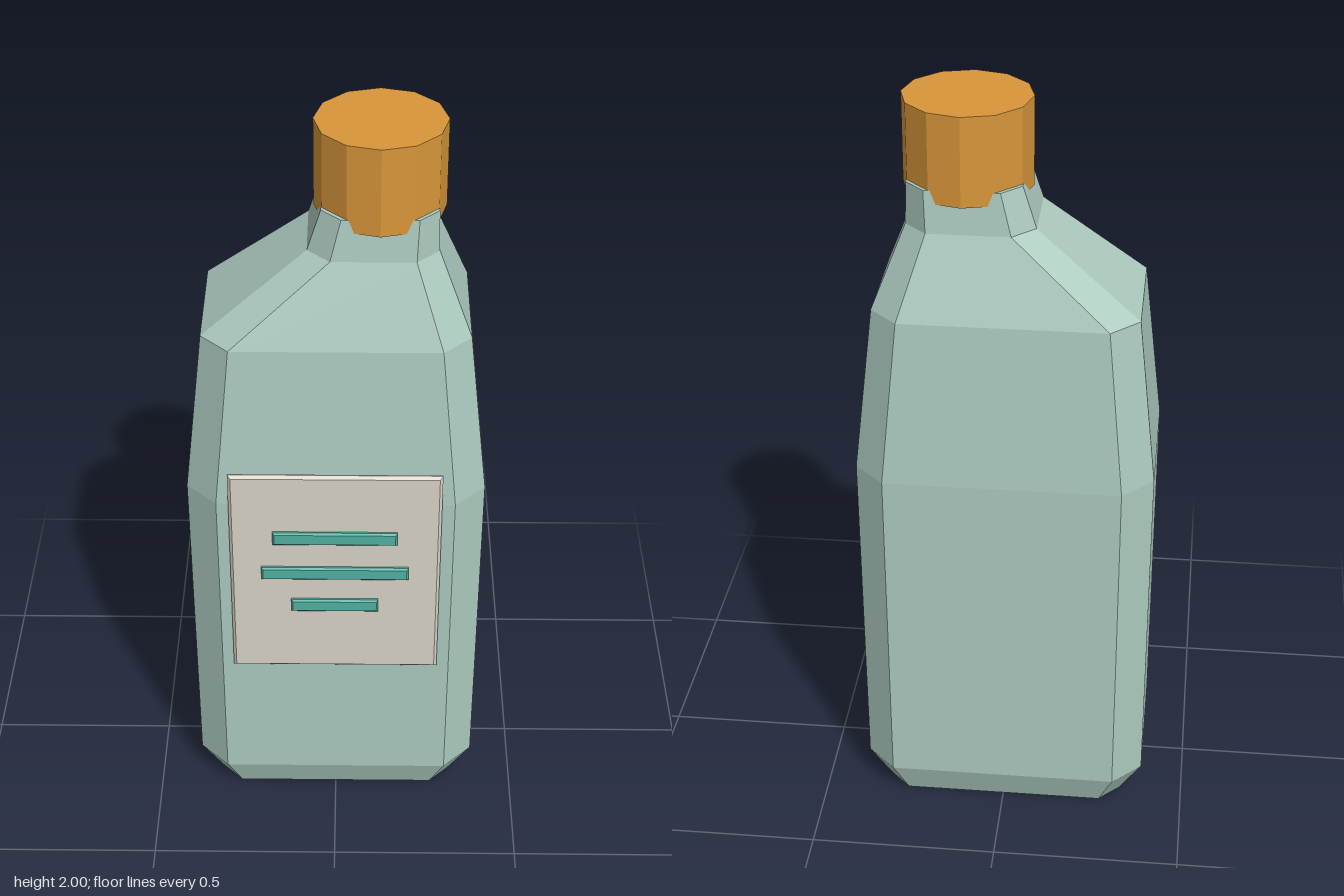
import * as THREE from 'three';

const CENTER_Z = -0.015;

// Octagonal rings from the base up: [y, xMin, xMax, halfDepth, corner chamfer]
const RINGS = [
  [0, -0.325, 0.325, 0.233, 0.055],
  [0.09, -0.386, 0.386, 0.265, 0.078],
  [1.03, -0.39, 0.39, 0.268, 0.08],
  [1.475, -0.341, 0.341, 0.231, 0.073],
  [1.69, -0.073, 0.256, 0.157, 0.058],
  [1.8, -0.038, 0.253, 0.145, 0.05],
];

function ringPoints([y, x0, x1, d, c]) {
  return [
    [x1, d - c], [x1, c - d], [x1 - c, -d], [x0 + c, -d],
    [x0, c - d], [x0, d - c], [x0 + c, d], [x1 - c, d],
  ].map(([x, z]) => [x, y, z + CENTER_Z]);
}

// Flat-faced loft through the rings, closed at both ends
function loft(rings) {
  const pts = rings.map(ringPoints);
  const n = pts[0].length;
  const pos = [];
  const tri = (a, b, c) => pos.push(...a, ...b, ...c);
  for (let r = 0; r < pts.length - 1; r++) {
    for (let i = 0; i < n; i++) {
      const j = (i + 1) % n;
      tri(pts[r][i], pts[r][j], pts[r + 1][j]);
      tri(pts[r][i], pts[r + 1][j], pts[r + 1][i]);
    }
  }
  const base = pts[0], top = pts[pts.length - 1];
  for (let i = 1; i < n - 1; i++) {
    tri(base[0], base[i + 1], base[i]);
    tri(top[0], top[i], top[i + 1]);
  }
  const geo = new THREE.BufferGeometry();
  geo.setAttribute('position', new THREE.Float32BufferAttribute(pos, 3));
  geo.computeVertexNormals();
  return geo;
}

// Rectangular plate with bevelled edges, spanning z0 to z1
function plate(x0, x1, y0, y1, z0, z1, bevel) {
  const b = bevel;
  const shape = new THREE.Shape([
    new THREE.Vector2(x0 + b, y0 + b), new THREE.Vector2(x1 - b, y0 + b),
    new THREE.Vector2(x1 - b, y1 - b), new THREE.Vector2(x0 + b, y1 - b),
  ]);
  const geo = new THREE.ExtrudeGeometry(shape, {
    depth: z1 - z0 - 2 * b, bevelEnabled: true,
    bevelSize: b, bevelThickness: b, bevelSegments: 1,
  });
  return geo.translate(0, 0, z0 + b);
}

export function createModel() {
  const group = new THREE.Group();
  group.name = 'bottle';

  const material = (name, color) => {
    const m = new THREE.MeshStandardMaterial({ color, flatShading: true });
    m.name = name;
    return m;
  };
  const glass = material('pale green glass', 0xaccabf);
  const amber = material('amber cap', 0xd8963a);
  const paper = material('cream paper', 0xd8d2c6);
  const teal = material('teal ink', 0x50b0a2);

  const add = (name, geometry, mat) => {
    const mesh = new THREE.Mesh(geometry, mat);
    mesh.name = name;
    group.add(mesh);
    return mesh;
  };

  // Body with the neck set off to one side
  add('body', loft(RINGS), glass);

  // Twelve-sided cap
  const cap = add('cap', new THREE.CylinderGeometry(0.166, 0.166, 0.235, 12), amber);
  cap.position.set(0.108, 1.8825, CENTER_Z);

  // Front label and its three stripes
  add('label', plate(-0.278, 0.276, 0.486, 1.13, 0.251, 0.27, 0.008), paper);
  [[-0.165, 0.162, 0.933], [-0.196, 0.193, 0.817], [-0.118, 0.114, 0.708]].forEach(([x0, x1, y], i) => {
    add(`labelStripe${i + 1}`, plate(x0, x1, y - 0.02, y + 0.02, 0.265, 0.28, 0.005), teal);
  });

  return group;
}
